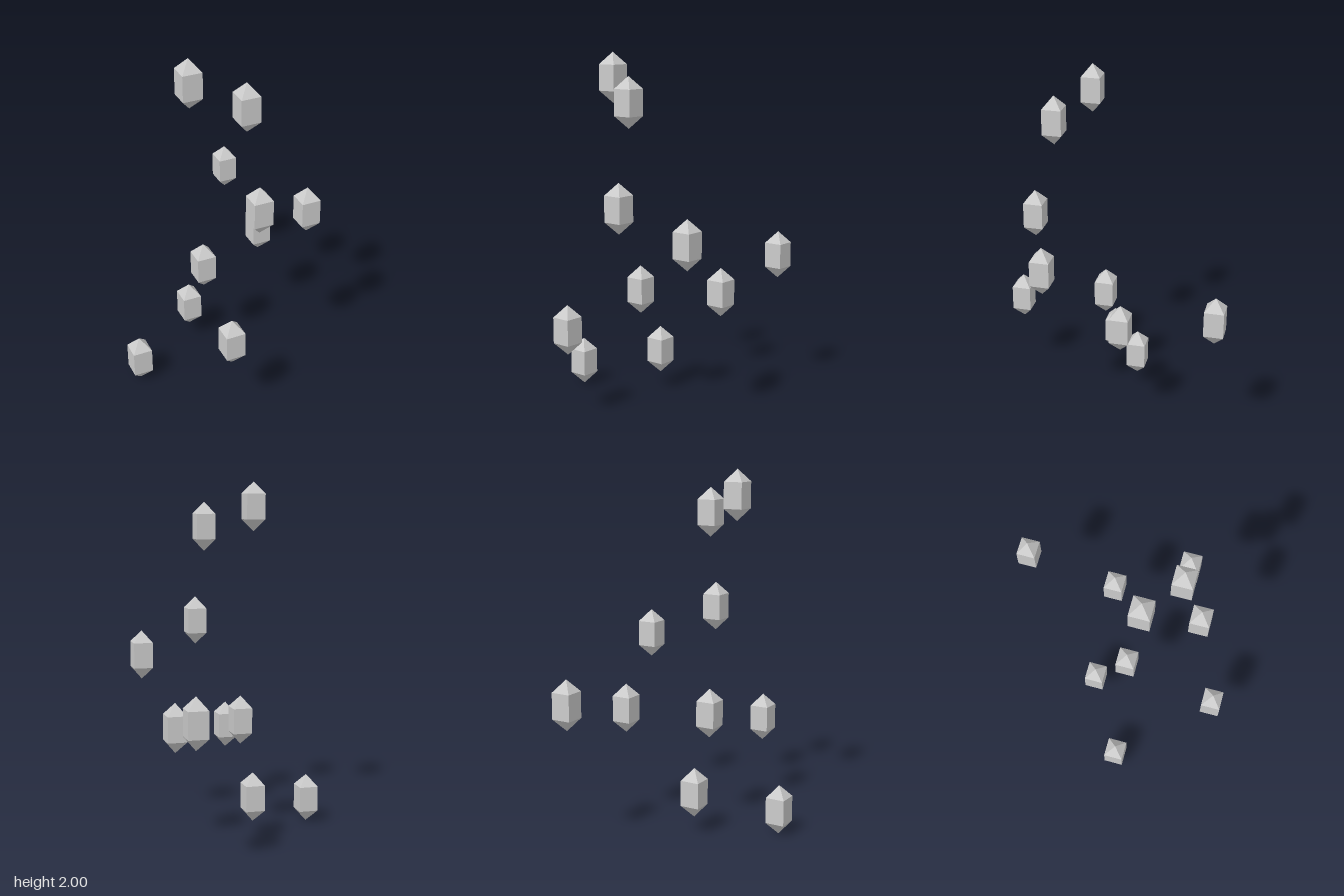
import * as THREE from 'three';

const RADIUS = 0.0775;
const HALF_HEIGHT = 0.141;
const HALF_PRISM = 0.073;

// Centres of the floating crystals
const CENTRES = [
  [-0.135, 1.859, 0.352],
  [0.152, 1.743, 0.283],
  [0.248, 1.184, 0.346],
  [0.402, 1.01, -0.006],
  [-0.322, 0.79, -0.63],
  [-0.134, 0.643, 0.205],
  [0.038, 0.657, -0.237],
  [0.197, 0.506, 0.63],
  [-0.282, 0.236, 0.079],
  [-0.404, 0.141, 0.533],
];

// Four-sided prism with a pyramid at each end, faceted
function crystalGeometry() {
  const profile = [
    [0, -HALF_HEIGHT], [RADIUS, -HALF_PRISM], [RADIUS, HALF_PRISM], [0, HALF_HEIGHT],
  ].map(([r, y]) => new THREE.Vector2(r, y));
  const geometry = new THREE.LatheGeometry(profile, 4).toNonIndexed();
  geometry.computeVertexNormals();
  return geometry;
}

export function createModel() {
  const group = new THREE.Group();
  group.name = 'crystalCluster';
  const paleGrey = new THREE.MeshStandardMaterial({ color: 0xcccccc });
  paleGrey.name = 'paleGrey';
  const geometry = crystalGeometry();

  CENTRES.forEach((centre, i) => {
    const crystal = new THREE.Mesh(geometry, paleGrey);
    crystal.name = `crystal${i + 1}`;
    crystal.position.set(...centre);
    group.add(crystal);
  });
  return group;
}
